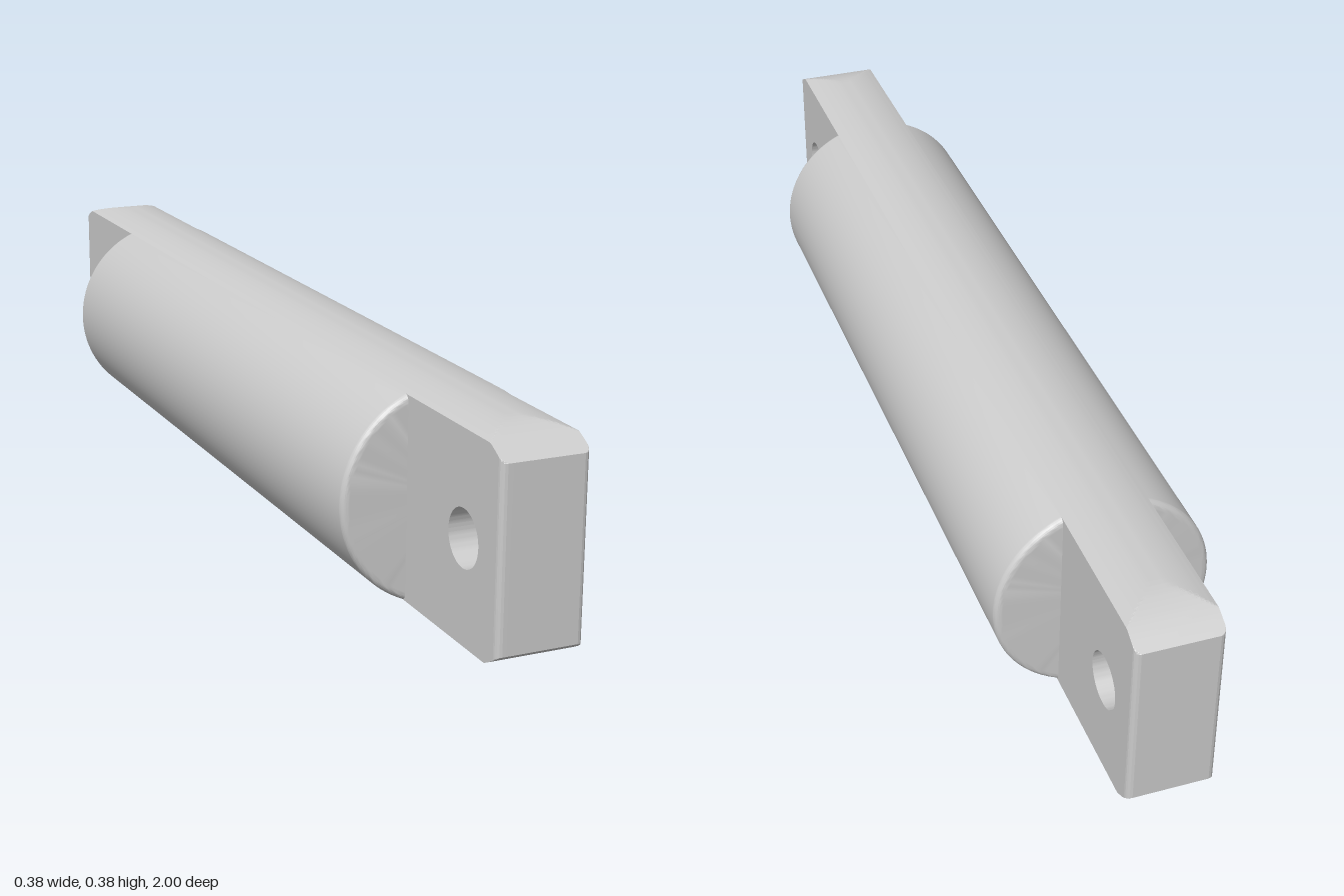
import * as THREE from 'three';
import { toCreasedNormals } from 'three/addons/utils/BufferGeometryUtils.js';

const R = 0.1925;      // pin radius
const W = 0.076;       // half thickness of the flat tongues
const END = 1;         // half length of the pin
const BODY = 0.69;     // half length of the round body
const HOLE_Z = 0.885;  // hole centre
const HOLE_R = 0.049;
const FILLET = 0.011;

// Flat bar running end to end: side profile with rounded, cut-off ends and two holes
function barGeometry() {
  const a = Math.acos((END - HOLE_Z) / R);
  const shape = new THREE.Shape();
  shape.absarc(HOLE_Z, 0, R, -Math.PI / 2, -a, false);
  shape.absarc(HOLE_Z, 0, R, a, Math.PI / 2, false);
  shape.absarc(-HOLE_Z, 0, R, Math.PI / 2, Math.PI - a, false);
  shape.absarc(-HOLE_Z, 0, R, Math.PI + a, Math.PI * 1.5, false);
  for (const s of [1, -1]) {
    const hole = new THREE.Path();
    hole.absarc(s * HOLE_Z, 0, HOLE_R, 0, Math.PI * 2, true);
    shape.holes.push(hole);
  }
  const geo = new THREE.ExtrudeGeometry(shape, {
    depth: 2, steps: 24, curveSegments: 24, bevelEnabled: false,
  });
  geo.translate(0, 0, -1).rotateY(Math.PI / 2);

  // Trim to the round section and soften the upright end edges
  const p = geo.attributes.position;
  for (let i = 0; i < p.count; i++) {
    const x = W * Math.sin(p.getX(i) * Math.PI / 2);
    const yMax = Math.sqrt(R * R - x * x);
    const over = Math.max(0, Math.abs(x) - (W - FILLET));
    const zMax = END - FILLET + Math.sqrt(Math.max(0, FILLET * FILLET - over * over));
    p.setXYZ(i, x,
      THREE.MathUtils.clamp(p.getY(i), -yMax, yMax),
      THREE.MathUtils.clamp(p.getZ(i), -zMax, zMax));
  }
  return toCreasedNormals(geo, 0.15);
}

// Round flank beside the bar: a lathed sector with rounded rims
function flankGeometry() {
  const half = [];
  for (let i = 0; i <= 6; i++) {
    const t = (i / 6) * Math.PI / 2;
    half.push([R - FILLET + FILLET * Math.sin(t), BODY - FILLET + FILLET * Math.cos(t)]);
  }
  half.unshift([0, BODY], [R - FILLET - 0.003, BODY]);
  const points = [
    ...half.map(([r, z]) => new THREE.Vector2(r, -z)),
    ...half.slice().reverse().map(([r, z]) => new THREE.Vector2(r, z)),
  ];
  const start = Math.asin(W / R);
  const geo = new THREE.LatheGeometry(points, 40, start, Math.PI - 2 * start);
  geo.rotateX(Math.PI / 2);
  return toCreasedNormals(geo, 0.5);
}

export function createModel() {
  const group = new THREE.Group();
  group.name = 'pin';
  const material = new THREE.MeshStandardMaterial({ color: 0xcccccc });

  const add = (geometry, name) => {
    const mesh = new THREE.Mesh(geometry, material);
    mesh.name = name;
    mesh.position.y = R;
    group.add(mesh);
    return mesh;
  };

  add(barGeometry(), 'drilledBar');
  const flank = flankGeometry();
  add(flank, 'leftFlank');
  add(flank, 'rightFlank').rotation.z = Math.PI;
  return group;
}
